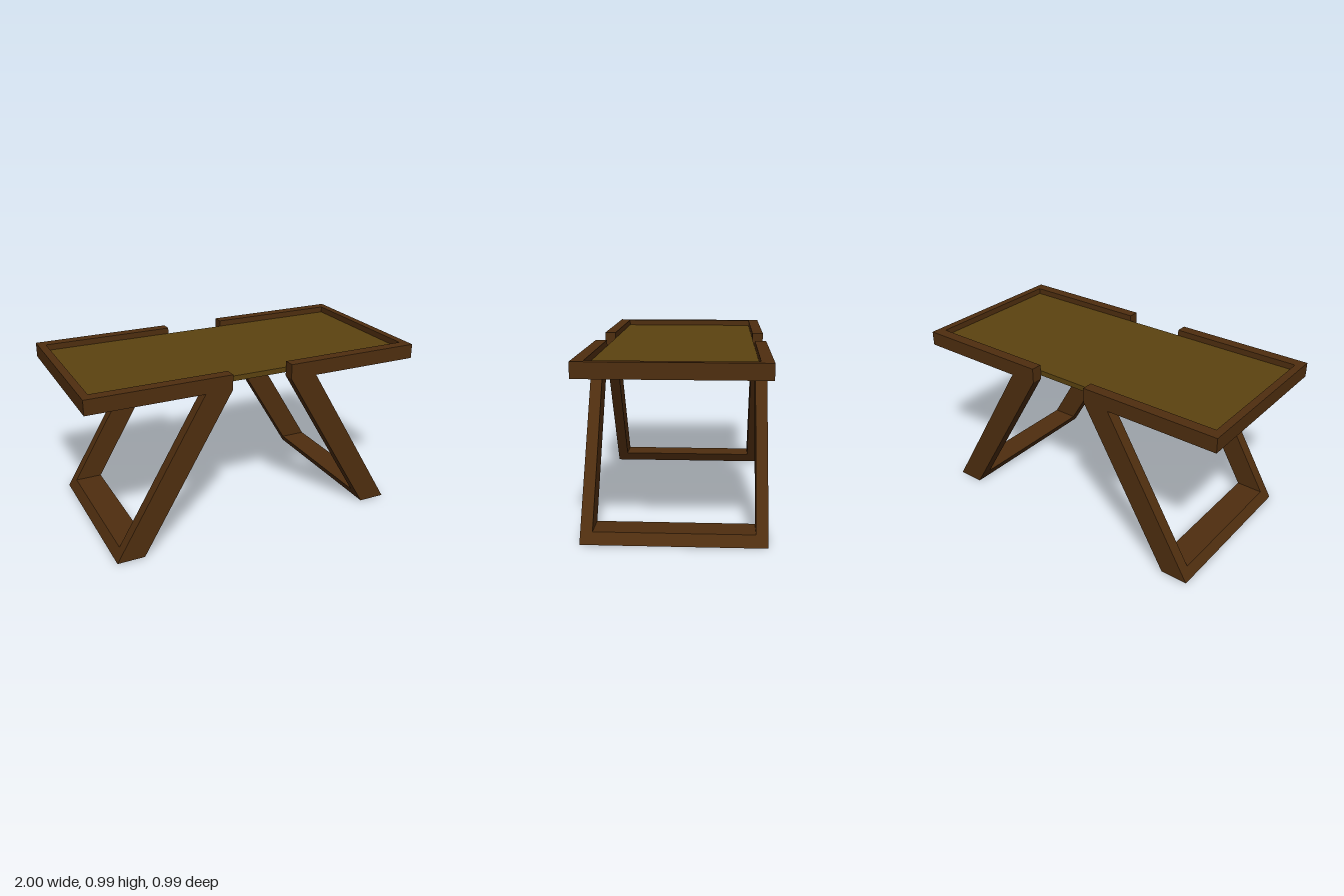
import * as THREE from 'three';

const wood = new THREE.MeshStandardMaterial({ color: 0x4f2e0f });
wood.name = 'dark brown wood';
const panelWood = new THREE.MeshStandardMaterial({ color: 0x5c4310 });
panelWood.name = 'olive brown panel';

const HALF_DEPTH = 0.495;   // outer half width of frame and legs
const INNER = 0.43;         // inner half width
const TOP = 0.99;           // top of the rim
const RIM_BASE = 0.905;     // underside of the rim, top of the legs

function extrude(points, depth) {
  const shape = new THREE.Shape(points.map(([a, b]) => new THREE.Vector2(a, b)));
  return new THREE.ExtrudeGeometry(shape, { depth, bevelEnabled: false });
}

function part(name, geometry, material) {
  const mesh = new THREE.Mesh(geometry, material);
  mesh.name = name;
  return mesh;
}

// U-shaped rim around one half of the table top, open towards the middle
function rimGeometry() {
  const d = HALF_DEPTH, i = INNER;
  const g = extrude([
    [0.18, -d], [1, -d], [1, d], [0.18, d],
    [0.18, i], [0.955, i], [0.955, -i], [0.18, -i],
  ], TOP - RIM_BASE);
  return g.rotateX(Math.PI / 2).translate(0, TOP, 0);
}

// U-shaped leg frame, sheared so its foot slants outwards
function legGeometry() {
  const d = HALF_DEPTH, i = INNER, h = RIM_BASE;
  const g = extrude([
    [-d, 0], [d, 0], [d, h], [i, h],
    [i, 0.06], [-i, 0.06], [-i, h], [-d, h],
  ], 0.16);
  g.rotateY(Math.PI / 2);
  const p = g.attributes.position;
  for (let k = 0; k < p.count; k++) {
    p.setX(k, p.getX(k) + 0.72 - 0.54 * p.getY(k) / h);
  }
  g.computeVertexNormals();
  return g;
}

export function createModel() {
  const model = new THREE.Group();
  model.name = 'table';

  // Thin panel set inside the rim
  const panel = part('tabletopPanel', new THREE.BoxGeometry(1.91, 0.03, 2 * INNER), panelWood);
  panel.position.y = 0.94;
  model.add(panel);

  // Two identical halves, one turned half way round
  const rim = rimGeometry(), leg = legGeometry();
  for (const side of ['left', 'right']) {
    const half = new THREE.Group();
    half.name = side + 'Half';
    half.add(part(side + 'Rim', rim, wood), part(side + 'LegFrame', leg, wood));
    if (side === 'right') half.rotation.y = Math.PI;
    model.add(half);
  }
  return model;
}
